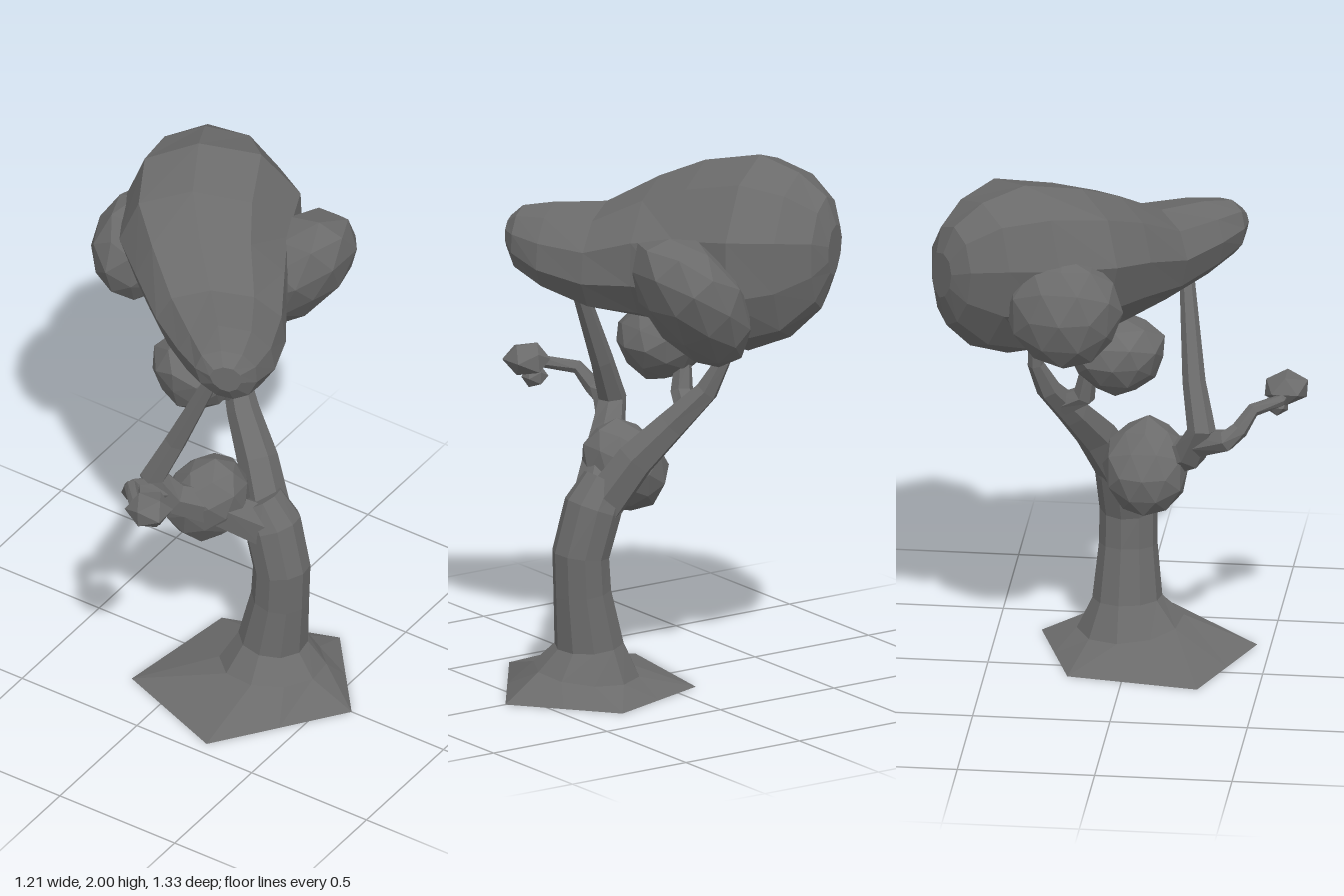
import * as THREE from 'three';

const V = (x, y, z) => new THREE.Vector3(x, y, z);

// Repeatable pseudo-random offset in -0.5..0.5 from a position
function noise(x, y, z) {
  const s = Math.sin(x * 12.9898 + y * 78.233 + z * 37.719) * 43758.5453;
  return s - Math.floor(s) - 0.5;
}

// Skin over rings of points (each counter-clockwise around the path), start cap optional
function loft(rings, startCap = true) {
  const n = rings[0].length, pos = [], idx = [];
  rings.forEach(r => r.forEach(p => pos.push(p.x, p.y, p.z)));
  for (let i = 0; i < rings.length - 1; i++) {
    for (let j = 0; j < n; j++) {
      const k = (j + 1) % n, a = i * n + j, b = i * n + k, c = a + n, d = b + n;
      idx.push(a, b, d, a, d, c);
    }
  }
  const last = (rings.length - 1) * n;
  for (let j = 1; j < n - 1; j++) {
    if (startCap) idx.push(0, j + 1, j);
    idx.push(last, last + j, last + j + 1);
  }
  const g = new THREE.BufferGeometry();
  g.setAttribute('position', new THREE.Float32BufferAttribute(pos, 3));
  g.setIndex(idx);
  g.computeVertexNormals();
  return g;
}

// Rings along a path of [x, y, z, radius]
function pathRings(path, sides) {
  const pts = path.map(p => V(p[0], p[1], p[2]));
  return path.map((p, i) => {
    const t = pts[Math.min(i + 1, pts.length - 1)].clone().sub(pts[Math.max(i - 1, 0)]).normalize();
    const q = new THREE.Quaternion().setFromUnitVectors(V(0, 1, 0), t);
    return Array.from({ length: sides }, (_, j) => {
      const a = (j / sides) * Math.PI * 2 + 0.17;
      return V(Math.sin(a) * p[3], 0, Math.cos(a) * p[3]).applyQuaternion(q).add(pts[i]);
    });
  });
}

// Faceted lump of leaves; lean shifts the top towards +x, taper narrows the bottom
function lumpGeometry(center, radii, detail, rough, lean = 0, taper = 0) {
  const g = new THREE.IcosahedronGeometry(1, detail);
  const p = g.attributes.position;
  for (let i = 0; i < p.count; i++) {
    const v = V(p.getX(i), p.getY(i), p.getZ(i));
    const r = [v.x, v.y, v.z].map(c => Math.round(c * 100) / 100 + center[0]);
    v.multiplyScalar(1 + rough * noise(...r));
    const w = 1 + taper * v.y;
    p.setXYZ(i, v.x * radii[0] * w + lean * v.y + center[0],
      v.y * radii[1] + center[1], v.z * radii[2] * w + center[2]);
  }
  g.computeVertexNormals();
  return g;
}

export function createModel() {
  const group = new THREE.Group();
  const grey = new THREE.MeshStandardMaterial({ color: 0x6b6b6b, flatShading: true, side: THREE.DoubleSide });
  grey.name = 'stone grey';
  const add = (name, geometry) => {
    const m = new THREE.Mesh(geometry, grey);
    m.name = name;
    group.add(m);
  };

  // Trunk: five-cornered foot, open underneath, flaring into a bent stem
  const corners = [V(0.27, 0, 0.45), V(0.6, 0, 0), V(0.32, 0, -0.34), V(-0.1, 0, -0.2), V(-0.17, 0, 0.28)];
  const foot = [];
  corners.forEach((c, i) => foot.push(c, c.clone().lerp(corners[(i + 1) % 5], 0.5)));
  add('trunk', loft([foot, ...pathRings([
    [0.25, 0.08, -0.01, 0.195],
    [0.245, 0.18, -0.02, 0.127],
    [0.275, 0.38, -0.02, 0.106],
    [0.282, 0.52, -0.02, 0.105],
    [0.235, 0.69, -0.03, 0.107],
    [0.18, 0.78, -0.03, 0.085],
  ], 10)], false));

  // Branches
  const branches = {
    frontBranch: [[0.22, 0.68, -0.01, 0.085], [0.1, 0.79, 0.11, 0.075], [-0.02, 0.87, 0.24, 0.064],
      [-0.07, 0.98, 0.285, 0.052], [0.0, 1.14, 0.25, 0.042], [0.14, 1.47, 0.21, 0.028]],
    backBranch: [[0.22, 0.68, -0.04, 0.085], [0.11, 0.87, -0.12, 0.075], [0.0, 1.0, -0.19, 0.06],
      [-0.1, 1.13, -0.27, 0.045], [-0.14, 1.24, -0.31, 0.03], [-0.15, 1.38, -0.31, 0.025]],
    innerTwig: [[-0.05, 1.05, -0.22, 0.045], [-0.08, 1.1, -0.14, 0.042], [-0.1, 1.22, -0.12, 0.03]],
    frontTwig: [[-0.04, 0.91, 0.26, 0.05], [-0.1, 0.955, 0.38, 0.042], [-0.08, 0.99, 0.425, 0.032],
      [-0.045, 1.055, 0.47, 0.025], [0.03, 1.065, 0.56, 0.022], [0.1, 1.08, 0.58, 0.02]],
  };
  for (const [name, path] of Object.entries(branches)) add(name, loft(pathRings(path, 6)));

  // Main canopy: sections along a diagonal [along, across, halfWidth, bottom, top],
  // each fuller above and rolled a little to one side
  const along = V(0.58, 0, 0.815), across = V(0.815, 0, -0.58);
  const sections = [
    [-0.75, 0.02, 0.07, 1.6, 1.78],
    [-0.71, 0.025, 0.14, 1.48, 1.88],
    [-0.6, 0.03, 0.23, 1.37, 1.96],
    [-0.44, 0.02, 0.315, 1.31, 2.0],
    [-0.22, -0.01, 0.305, 1.34, 1.95],
    [-0.05, 0.0, 0.265, 1.38, 1.88],
    [0.14, 0.03, 0.23, 1.41, 1.78],
    [0.33, 0.04, 0.17, 1.46, 1.76],
    [0.45, 0.035, 0.11, 1.52, 1.74],
    [0.495, 0.03, 0.055, 1.59, 1.7],
  ];
  add('mainCanopy', loft(sections.map(([t, u, w, lo, hi], i) =>
    Array.from({ length: 10 }, (_, j) => {
      const a = ((j + 0.5) / 10) * Math.PI * 2, s = Math.sin(a);
      const k = 1.02 + 0.06 * noise(i, j, 1);
      return along.clone().multiplyScalar(t)
        .addScaledVector(across, u + w * (k * Math.cos(a) * (1 + 0.13 * s) - 0.2 * s))
        .add(V(0, (lo + hi) / 2 + ((hi - lo) / 2) * k * s, 0));
    }))));

  // Smaller leaf lumps: center, radii, detail, roughness, lean, taper
  const lumps = {
    sideCanopy: [[-0.445, 1.585, -0.175], [0.16, 0.22, 0.212], 1, 0.08],
    backCanopy: [[0.065, 1.525, -0.425], [0.19, 0.262, 0.228], 1, 0.06, 0.11, 0.12],
    innerLump: [[-0.08, 1.265, -0.02], [0.165, 0.15, 0.175], 1, 0.1, 0, 0.2],
    lowerLump: [[0.025, 0.79, 0.075], [0.156, 0.174, 0.155], 1, 0.1, 0.03],
    twigLump: [[0.105, 1.085, 0.575], [0.085, 0.063, 0.09], 0, 0.1],
    twigBud: [[0.09, 1.025, 0.545], [0.05, 0.042, 0.045], 0, 0.1],
  };
  for (const [name, args] of Object.entries(lumps)) add(name, lumpGeometry(...args));

  return group;
}
